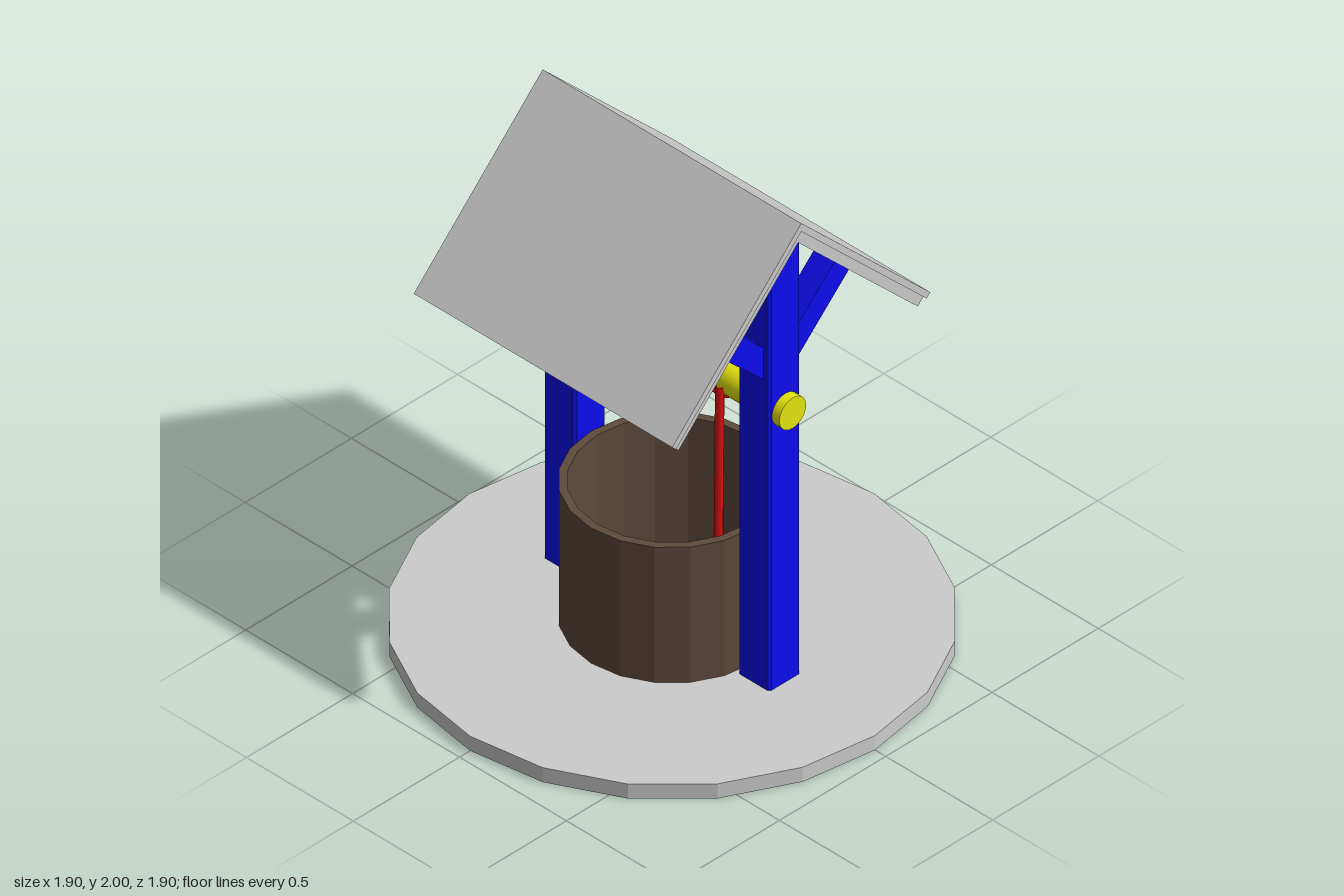
import * as THREE from 'three';

const mat = (color, flatShading = false) => new THREE.MeshStandardMaterial({ color, flatShading });
const GREY = mat(0xcccccc, true);
const BROWN = mat(0x5e4a3c, true);
const BLUE = mat(0x0d0df0, true);
const YELLOW = mat(0xe6e60f);
const RED = mat(0xe01010);

export function createModel() {
  const model = new THREE.Group();

  const add = (name, geometry, material, x = 0, y = 0, z = 0) => {
    const mesh = new THREE.Mesh(geometry, material);
    mesh.name = name;
    mesh.position.set(x, y, z);
    model.add(mesh);
    return mesh;
  };

  // Extrudes a side profile of [z, y] points along x, centred on x = 0
  const sideExtrude = (points, width, bevel = 0) => {
    const shape = new THREE.Shape(points.map(([z, y]) => new THREE.Vector2(-z, y)));
    const geometry = new THREE.ExtrudeGeometry(shape, {
      depth: width - 2 * bevel, bevelEnabled: bevel > 0, bevelThickness: bevel,
      bevelSize: bevel, bevelOffset: -bevel, bevelSegments: 1,
    });
    return geometry.translate(0, 0, bevel - width / 2).rotateY(Math.PI / 2);
  };

  // Cylinder lying along x from x0 to x1
  const rod = (name, x0, x1, y, r0, r1 = r0, sides = 24) =>
    add(name, new THREE.CylinderGeometry(r0, r1, x1 - x0, sides).rotateZ(Math.PI / 2), YELLOW, (x0 + x1) / 2, y);

  // Ground slab
  add('base', new THREE.CylinderGeometry(0.95, 0.95, 0.06, 20), GREY, 0, 0.03);

  // Hollow well wall
  const wall = [[0.35, 0.05], [0.38, 0.05], [0.38, 0.62], [0.35, 0.62], [0.35, 0.05]];
  add('wellWall', new THREE.LatheGeometry(wall.map(([r, y]) => new THREE.Vector2(r, y)), 20), BROWN);

  // Roof layers: 45 degree chevrons measured by depth below the outer surface
  const chevron = (d0, d1) => {
    const edge = (d) => {
      const s = d * Math.SQRT1_2;
      return [[-0.607 + s, 1.393 - s], [0, 2 - d * Math.SQRT2], [0.607 - s, 1.393 - s]];
    };
    return [...edge(d0), ...edge(d1).reverse()];
  };
  add('roof', sideExtrude(chevron(0, 0.024), 1.21), GREY);

  // Posts with pointed tops, diagonal braces and gable trim at both ends
  const post = [[-0.075, 0.04], [0.075, 0.04], [0.075, 1.89], [0, 1.965], [-0.075, 1.89]];
  const brace = [[0.04, 1.305], [0.345, 1.6], [0.278, 1.667], [0.04, 1.437]];
  for (const side of [1, -1]) {
    add('post', sideExtrude(post, 0.15, 0.01), BLUE, side * 0.455);
    add('gableTrim', sideExtrude(chevron(0.02, 0.062), 0.024), GREY, side * 0.578);
    for (const dir of [1, -1]) {
      add('brace', sideExtrude(brace.map(([z, y]) => [z * dir, y]), 0.096), BLUE, side * 0.455);
    }
  }
  add('crossbeam', new THREE.BoxGeometry(0.8, 0.1, 0.1), BLUE, 0, 1.45);

  // Axle and crank
  const axleY = 1.193;
  rod('axle', -0.57, 0.565, axleY, 0.063);
  rod('crankShaft', -0.7, -0.56, axleY, 0.024);
  add('crankArm', new THREE.BoxGeometry(0.02, 0.195, 0.05), YELLOW, -0.698, 1.125);
  rod('crankHandle', -0.85, -0.695, 1.058, 0.017, 0.023);

  // Rope wound round the axle
  const turns = 20;
  const coil = [];
  for (let i = 0; i <= turns * 16; i++) {
    const a = (i / 16) * Math.PI * 2;
    coil.push(new THREE.Vector3(-0.295 + (0.58 * i) / (turns * 16), axleY + 0.062 * Math.sin(a), 0.062 * Math.cos(a)));
  }
  add('ropeCoil', new THREE.TubeGeometry(new THREE.CatmullRomCurve3(coil), turns * 24, 0.0155, 8), RED);

  // Rope hanging into the well
  const drop = new THREE.LineCurve3(new THREE.Vector3(0.285, axleY, 0.062), new THREE.Vector3(0.268, 0.1, 0.055));
  add('hangingRope', new THREE.TubeGeometry(drop, 1, 0.016, 10), RED);

  return model;
}
